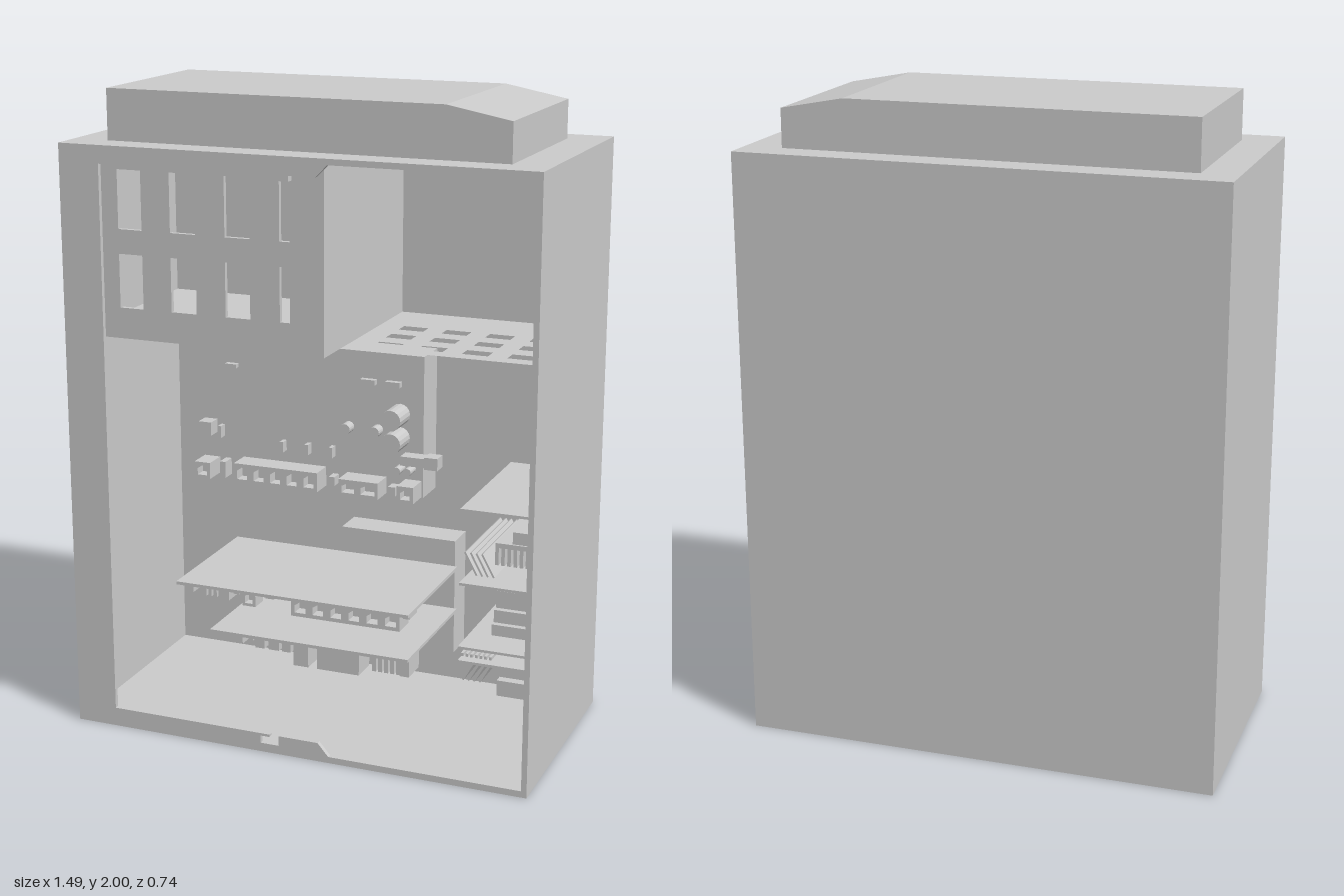
import * as THREE from 'three';

const material = new THREE.MeshStandardMaterial({ color: 0xcccccc, flatShading: true });
const sheetMaterial = new THREE.MeshStandardMaterial({ color: 0xcccccc, side: THREE.DoubleSide });

function add(parent, name, geometry, mat = material) {
  const mesh = new THREE.Mesh(geometry, mat);
  mesh.name = name;
  parent.add(mesh);
  return mesh;
}

// Box given by its limits on each axis
function block(parent, name, x0, x1, y0, y1, z0, z1) {
  const mesh = add(parent, name, new THREE.BoxGeometry(x1 - x0, y1 - y0, z1 - z0));
  mesh.position.set((x0 + x1) / 2, (y0 + y1) / 2, (z0 + z1) / 2);
  return mesh;
}

function outline(points, Type = THREE.Shape) {
  return new Type(points.map(([x, y]) => new THREE.Vector2(x, y)));
}

const rect = (x0, x1, y0, y1) => [[x0, y0], [x1, y0], [x1, y1], [x0, y1]];

// Upright plate with cut-outs, its back face at z0
function plate(parent, name, shape, z0, depth) {
  const geometry = new THREE.ExtrudeGeometry(shape, { depth, bevelEnabled: false });
  geometry.translate(0, 0, z0);
  return add(parent, name, geometry);
}

function group(parent, name) {
  const g = new THREE.Group();
  g.name = name;
  parent.add(g);
  return g;
}

function buildCabinet(root) {
  const cabinet = group(root, 'cabinet');
  const W = 0.743, H = 1.845, D = 0.372, t = 0.015;
  block(cabinet, 'backWall', -W, W, 0, H, -D, -D + t);
  for (const [name, s] of [['leftWall', 1], ['rightWall', -1]]) {
    block(cabinet, name, s * W - (s > 0 ? t : 0), s * W + (s > 0 ? 0 : t), 0, H, -D, D);
  }
  block(cabinet, 'floor', -W, W, 0, t, -D, D);
  block(cabinet, 'ceiling', -W, W, H - t, H, -D, D);

  // Front frame with the stepped opening and latch notch
  const frame = outline(rect(-W, W, 0, H));
  frame.holes.push(outline([
    [-0.612, 0.06], [-0.08, 0.06], [-0.08, 0.052], [-0.11, 0.052], [-0.11, 0.028],
    [-0.05, 0.028], [-0.05, 0.06], [0.08, 0.06], [0.115, 0.02], [0.726, 0.02],
    [0.726, 1.827], [0.115, 1.827], [0.078, 1.79], [-0.612, 1.79],
  ], THREE.Path));
  plate(cabinet, 'frontFrame', frame, D - t, t);

  // Hood with one sloping end
  const hood = outline([[-0.63, H], [0.625, H], [0.625, 1.963], [0.43, 2], [-0.63, 2]]);
  plate(root, 'topHood', hood, -0.275, 0.55);
}

function buildCage(root) {
  const cage = group(root, 'driveCage');
  const front = outline(rect(-0.728, 0.075, 1.25, 1.83));
  for (const [y0, y1] of [[1.585, 1.765], [1.345, 1.51]]) {
    for (const [x0, x1] of [[-0.59, -0.512], [-0.418, -0.335], [-0.24, -0.16], [-0.065, -0.033]]) {
      front.holes.push(outline(rect(x0, x1, y0, y1), THREE.Path));
    }
  }
  plate(cage, 'cageFront', front, 0.285, 0.015);
  block(cage, 'cageSide', 0.063, 0.075, 1.25, 1.83, -0.357, 0.286);
  block(cage, 'cageFloor', -0.728, 0.075, 1.25, 1.26, -0.357, 0.286);
  block(cage, 'cageLatch', -0.115, -0.025, 1.765, 1.785, 0.3, 0.325);

  // Thin slotted shelf beside the cage
  const shelf = outline(rect(0.075, 0.728, -0.15, 0.357));
  for (let i = 0; i < 4; i++) {
    for (let j = 0; j < 3; j++) {
      const x = 0.15 + i * 0.14, z = -0.1 + j * 0.11;
      shelf.holes.push(outline(rect(x, x + 0.08, z, z + 0.05), THREE.Path));
    }
  }
  const mesh = add(cage, 'slottedShelf', new THREE.ShapeGeometry(shelf), sheetMaterial);
  mesh.rotation.x = -Math.PI / 2;
  mesh.position.y = 1.25;
}

// Socket: box with an open mouth towards +z
function socket(parent, x0, x1, y0, y1, z0, z1) {
  const rim = Math.min(x1 - x0, y1 - y0) * 0.2;
  const shape = outline(rect(x0, x1, y0, y1));
  shape.holes.push(outline([
    [x0 + rim, y0 + rim], [x1 - rim, y0 + rim], [x1 - rim, y1 - 2 * rim],
    [(x0 + x1) / 2, y1 - rim], [x0 + rim, y1 - 2 * rim],
  ], THREE.Path));
  plate(parent, 'socketShell', shape, z0, z1 - z0);
  block(parent, 'socketBack', x0 + rim / 2, x1 - rim / 2, y0 + rim / 2, y1 - rim / 2, z0, (z0 + z1) / 2);
}

function buildMainBoard(root) {
  const board = group(root, 'mainBoard');
  const face = -0.235;
  block(board, 'boardBase', -0.59, 0.195, 0.672, 1.14, -0.357, face);
  // Capacitors
  for (const [x, y, r, h] of [[0.115, 0.945, 0.034, 0.09], [0.115, 0.868, 0.034, 0.09],
    [-0.06, 0.885, 0.018, 0.04], [0.04, 0.885, 0.018, 0.04],
    [0.122, 0.768, 0.013, 0.05], [0.158, 0.768, 0.013, 0.05]]) {
    const c = add(board, 'capacitor', new THREE.CylinderGeometry(r, r, h, 16));
    c.rotation.x = Math.PI / 2;
    c.position.set(x, y, face + h / 2);
  }
  // Row of sockets along the lower edge
  for (let i = 0; i < 5; i++) {
    const x = -0.435 + i * 0.059;
    socket(board, x, x + 0.059, 0.675, 0.74, face, face + 0.08);
  }
  for (const [x0, x1] of [[-0.578, -0.522], [-0.065, 0], [0, 0.07], [0.135, 0.19]]) {
    socket(board, x0, x1, 0.675, 0.73, face, face + 0.08);
  }
  // Small chips: x0, x1, y0, y1, height
  for (const [x0, x1, y0, y1, h] of [
    [-0.5, -0.48, 0.675, 0.73, 0.05], [-0.115, -0.095, 0.69, 0.72, 0.04], [0.09, 0.115, 0.68, 0.71, 0.04],
    [-0.575, -0.53, 0.815, 0.86, 0.05], [-0.515, -0.503, 0.805, 0.845, 0.03],
    [-0.49, -0.45, 1.045, 1.058, 0.02], [-0.015, 0.035, 1.035, 1.052, 0.02],
    [0.07, 0.12, 1.035, 1.052, 0.02], [0.135, 0.215, 0.79, 0.82, 0.05], [0.215, 0.26, 0.785, 0.825, 0.05],
    [-0.293, -0.28, 0.78, 0.815, 0.03], [-0.205, -0.192, 0.78, 0.815, 0.03], [-0.12, -0.107, 0.78, 0.815, 0.03]]) {
    block(board, 'chip', x0, x1, y0, y1, face, face + h);
  }
}

function buildLowerBoards(root) {
  const lower = group(root, 'lowerBoards');
  block(lower, 'backBox', -0.09, 0.302, 0.15, 0.535, -0.357, -0.25);
  block(lower, 'upperBoard', -0.47, 0.31, 0.44, 0.45, -0.25, 0.21);
  block(lower, 'lowerBoard', -0.355, 0.31, 0.295, 0.305, -0.25, 0.21);
  // Parts hanging below the upper board
  for (let i = 0; i < 6; i++) {
    const x = -0.088 + i * 0.06;
    socket(lower, x, x + 0.06, 0.38, 0.44, 0.1, 0.18);
  }
  socket(lower, -0.255, -0.21, 0.39, 0.44, 0.12, 0.18);
  for (const [x0, x1, y0] of [[-0.45, -0.43, 0.405], [-0.34, -0.305, 0.395], [-0.29, -0.27, 0.42],
    [-0.18, -0.15, 0.42], [-0.125, -0.1, 0.425], [0.28, 0.3, 0.42]]) {
    block(lower, 'hangingPart', x0, x1, y0, 0.44, 0.1, 0.17);
  }
  for (let i = 0; i < 4; i++) {
    block(lower, 'heatsinkFin', -0.43 + i * 0.018, -0.418 + i * 0.018, 0.37, 0.44, 0, 0.1);
  }
  // Parts hanging below the lower board
  for (const [x0, x1, y0] of [[-0.345, -0.26, 0.255], [-0.24, -0.225, 0.27], [-0.215, -0.185, 0.25],
    [-0.17, -0.135, 0.25], [-0.125, -0.095, 0.25], [-0.085, -0.035, 0.21], [-0.005, 0.135, 0.21],
    [0.27, 0.3, 0.23]]) {
    block(lower, 'hangingPart', x0, x1, y0, 0.295, 0.08, 0.17);
  }
  for (let i = 0; i < 5; i++) {
    block(lower, 'heatsinkFin', 0.16 + i * 0.02, 0.173 + i * 0.02, 0.21, 0.295, 0.02, 0.12);
  }
}

function buildSideBoards(root) {
  const side = group(root, 'sideBoards');
  const z0 = -0.357, z1 = 0.15;
  for (const y of [0.785, 0.55, 0.345, 0.3]) block(side, 'sideBoard', 0.45, 0.728, y - 0.004, y + 0.004, z0, z1);
  // Blocks between the boards
  for (const [x0, x1, y0, y1, front] of [
    [0.665, 0.728, 0.72, 0.78, 0.08], [0.6, 0.728, 0.68, 0.718, 0.1],
    [0.54, 0.728, 0.455, 0.51, 0.06], [0.54, 0.728, 0.415, 0.455, 0.08], [0.54, 0.728, 0.38, 0.415, 0.1],
    [0.56, 0.728, 0.27, 0.296, 0.05], [0.56, 0.728, 0.235, 0.27, 0.07], [0.56, 0.728, 0.185, 0.235, 0.1]]) {
    block(side, 'sideBlock', x0, x1, y0, y1, -0.25, front);
  }
  // Ribbed heatsink
  block(side, 'heatsinkBase', 0.54, 0.705, 0.655, 0.67, -0.2, 0.08);
  for (let i = 0; i < 9; i++) {
    block(side, 'heatsinkFin', 0.54 + i * 0.0192, 0.551 + i * 0.0192, 0.6, 0.656, -0.2, 0.08);
  }
  // Slanted cards and the pins beside them
  for (const [y, tilt, pinY] of [[0.6, 0.5, 0.541], [0.255, -0.5, 0.311]]) {
    for (let i = 0; i < 4; i++) {
      const x = 0.47 + i * 0.018;
      block(side, 'slantedCard', x - 0.003, x + 0.003, y - 0.04, y + 0.04, -0.25, 0.1).rotation.z = tilt;
    }
    for (let i = 0; i < 7; i++) {
      block(side, 'pinRow', 0.45 + i * 0.015, 0.458 + i * 0.015, pinY - 0.005, pinY + 0.005, -0.25, 0.12);
    }
  }
}

export function createModel() {
  const root = new THREE.Group();
  root.name = 'openCabinet';
  buildCabinet(root);
  buildCage(root);
  buildMainBoard(root);
  buildLowerBoards(root);
  buildSideBoards(root);
  return root;
}
